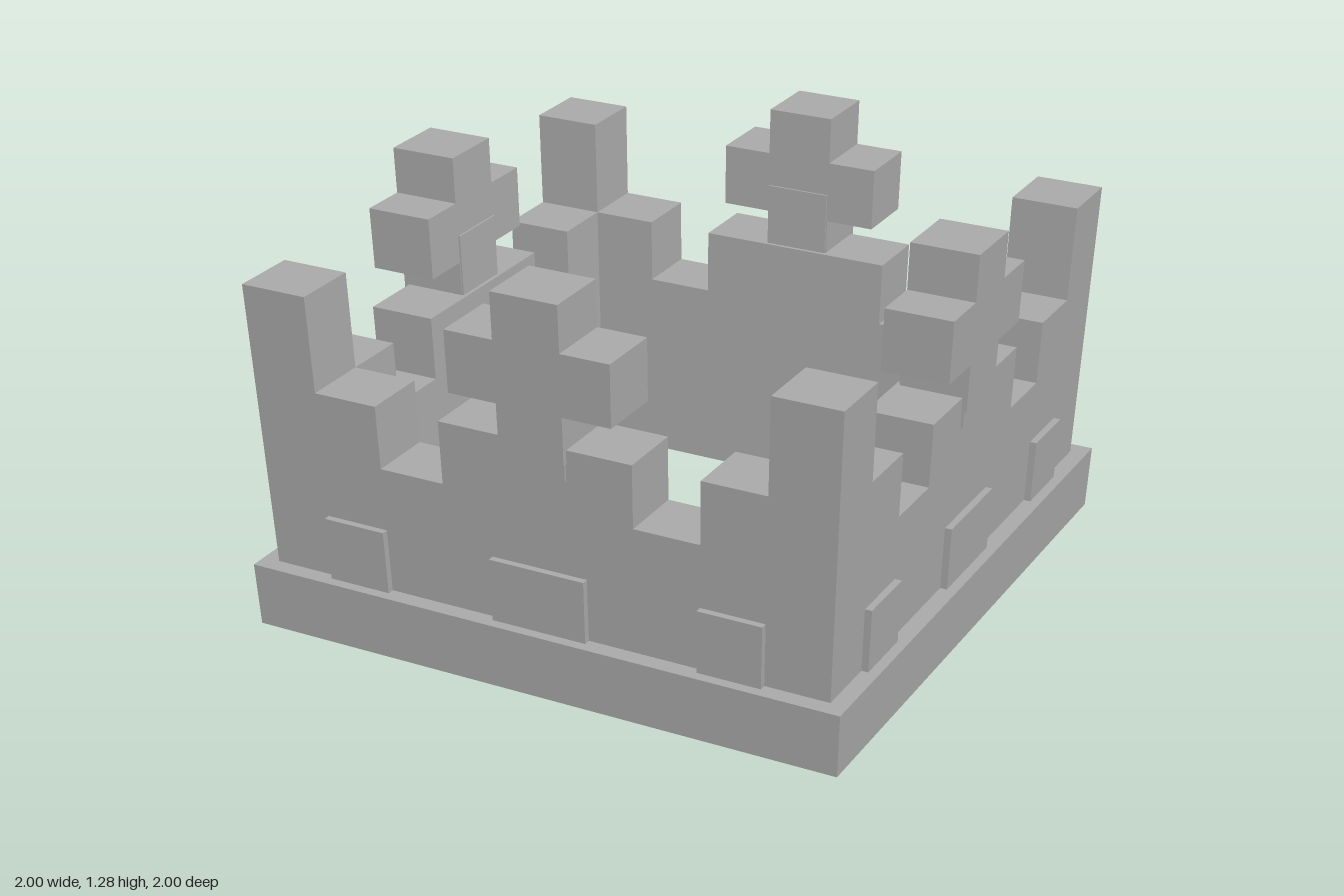
import * as THREE from 'three';

// The whole crown flares gently outward with height.
const flare = (y) => 1 + 0.046 * (y - 1.13);
const INNER = 0.758; // inner wall face before flaring
const OUTER = 0.977; // outer wall face before flaring

// Mirror the right half of an outline, listed from bottom centre to top centre.
function mirroredShape(half) {
  const left = half.map(([x, y]) => [-x, y]).reverse();
  return new THREE.Shape([...half, ...left]
    .filter(([x, y], i, all) => i === 0 || x !== all[i - 1][0] || y !== all[i - 1][1])
    .map(([x, y]) => new THREE.Vector2(x, y)));
}

// Extrude an outline from z = back to z = front, optionally mitre its ends, then flare it.
function panel(shape, back, front, mitre = false) {
  const geo = new THREE.ExtrudeGeometry(shape, { depth: front - back, bevelEnabled: false });
  geo.translate(0, 0, back);
  const p = geo.attributes.position;
  for (let i = 0; i < p.count; i++) {
    let x = p.getX(i);
    const y = p.getY(i), z = p.getZ(i);
    if (mitre && z < (back + front) / 2) x = THREE.MathUtils.clamp(x, -back, back);
    p.setXYZ(i, x * flare(y), y, z * flare(y));
  }
  geo.computeVertexNormals();
  return geo;
}

function rect(x0, x1, y0, y1) {
  return new THREE.Shape([[x0, y0], [x1, y0], [x1, y1], [x0, y1]]
    .map(([x, y]) => new THREE.Vector2(x, y)));
}

export function createModel() {
  const stone = new THREE.MeshStandardMaterial({ color: 0xaaaaaa, flatShading: true });
  stone.name = 'grey';

  // Stepped wall: tall corner, shoulder, notch, raised middle
  const wallShape = mirroredShape([
    [OUTER, 0.205], [OUTER, 1.13], [INNER, 1.13], [INNER, 0.82],
    [0.545, 0.82], [0.545, 0.615], [0.325, 0.615], [0.325, 0.82],
  ]);
  // Cross ornament
  const crossShape = mirroredShape([
    [0.109, 0.775], [0.109, 0.93], [0.27, 0.93], [0.27, 1.13],
    [0.109, 1.13], [0.109, 1.28],
  ]);

  const parts = [
    ['baseRim', panel(rect(-1.035, 1.035, 0, 0.205), INNER, 1.035, true)],
    ['wall', panel(wallShape, INNER, OUTER, true)],
    ['cross', panel(crossShape, 0.776, 0.994)],
    ['crossStem', panel(rect(-0.106, 0.106, 0.72, 1.02), 0.77, 0.985)],
    ['middleGem', panel(rect(-0.164, 0.164, 0.205, 0.41), 0.96, 1.0)],
    ['leftGem', panel(rect(0.545, 0.76, 0.205, 0.41), 0.96, 1.0)],
    ['rightGem', panel(rect(-0.76, -0.545, 0.205, 0.41), 0.96, 1.0)],
  ];

  // Four identical sides
  const crown = new THREE.Group();
  crown.name = 'crown';
  ['frontSide', 'leftSide', 'backSide', 'rightSide'].forEach((name, k) => {
    const side = new THREE.Group();
    side.name = name;
    side.rotation.y = k * Math.PI / 2;
    for (const [partName, geo] of parts) {
      const mesh = new THREE.Mesh(geo, stone);
      mesh.name = partName;
      side.add(mesh);
    }
    crown.add(side);
  });
  return crown;
}
